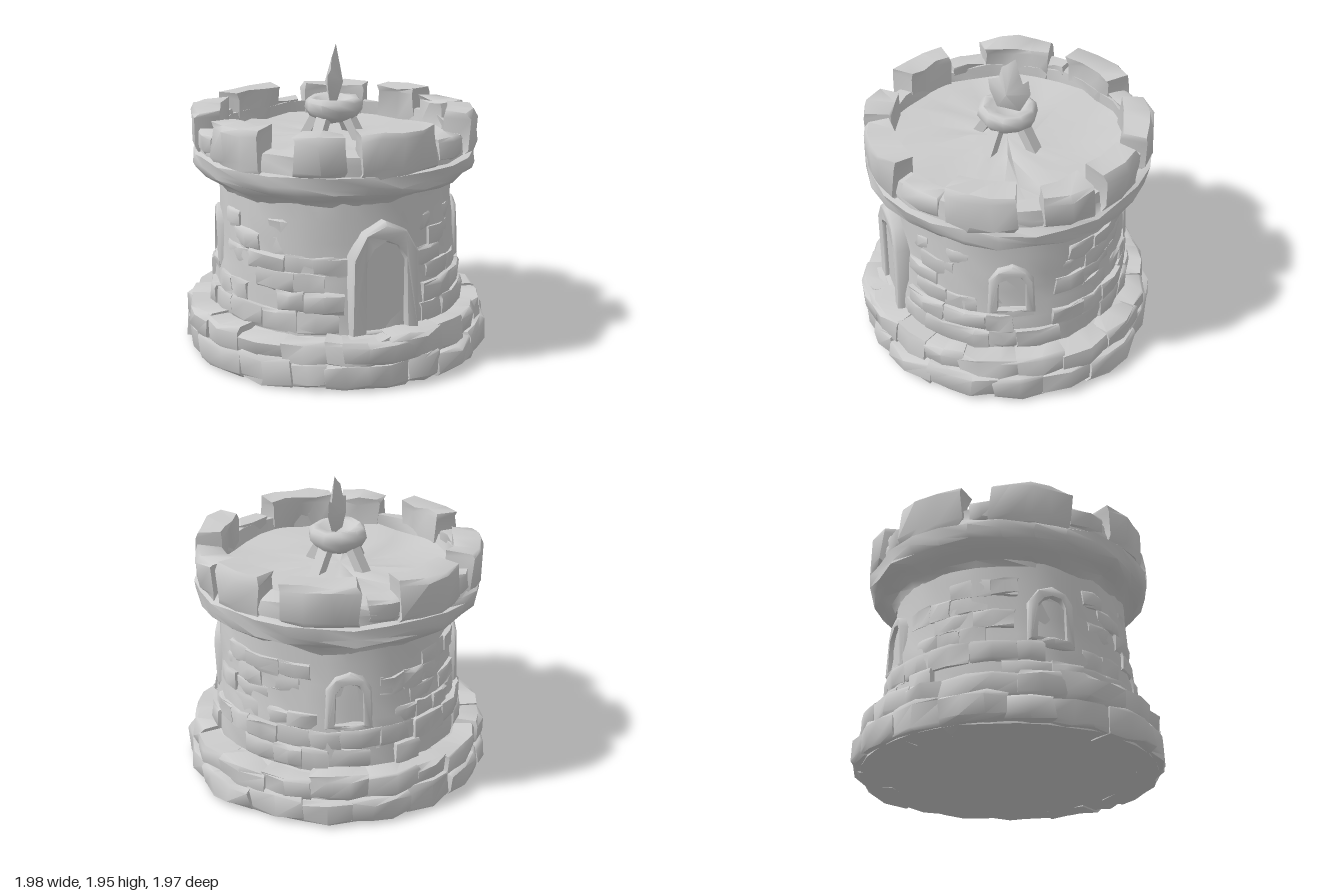
import * as THREE from 'three';
import { mergeGeometries, toCreasedNormals } from 'three/addons/utils/BufferGeometryUtils.js';

const RAD = Math.PI / 180;
const stone = new THREE.MeshStandardMaterial({ color: 0xcccccc });

let seed = 7;
const rand = () => (seed = (seed * 16807) % 2147483647) / 2147483647;
const vary = (a) => (rand() - 0.5) * 2 * a;

// Repeatable noise from a position, so that shared corners move together
function noise(x, y, z, k) {
  const s = Math.sin(Math.round(x * 500) * 12.99 + Math.round(y * 500) * 78.23 + Math.round(z * 500) * 37.72 + k * 91.7) * 43758.55;
  return (s - Math.floor(s)) * 2 - 1;
}

function roughen(geo, amount) {
  const p = geo.attributes.position;
  for (let i = 0; i < p.count; i++) {
    const [x, y, z] = [p.getX(i), p.getY(i), p.getZ(i)];
    p.setXYZ(i, x + amount * noise(x, y, z, 1), y + amount * noise(x, y, z, 2), z + amount * noise(x, y, z, 3));
  }
  return geo;
}

function mesh(name, geo, crease = 0.9) {
  const m = new THREE.Mesh(toCreasedNormals(geo, crease), stone);
  m.name = name;
  return m;
}

// Chipped stone bent round the tower: angles a0..a1 in degrees from the front
function arcStone(a0, a1, r0, r1, y0, y1, bevel = 0.02, rough = 0.008) {
  const geo = new THREE.BoxGeometry(1, 1, 1, Math.max(2, Math.round((a1 - a0) / 9)), 3, 1);
  const p = geo.attributes.position;
  for (let i = 0; i < p.count; i++) {
    const u = p.getX(i), v = p.getY(i), w = p.getZ(i);
    const edge = (Math.abs(u) > 0.49 ? 1 : 0) + (Math.abs(v) > 0.49 ? 1 : 0);
    const a = (a0 + (a1 - a0) * (u + 0.5)) * RAD;
    const r = w > 0 ? r1 - bevel * edge : r0;
    const vv = Math.abs(v) < 0.49 ? v * 2.1 : v;
    p.setXYZ(i, r * Math.sin(a), y0 + (y1 - y0) * (vv + 0.5), r * Math.cos(a));
  }
  return roughen(geo, rough);
}

// Ring of stones with uneven lengths
function course(name, count, start, r0, r1, y0, y1) {
  const cuts = Array.from({ length: count }, (_, i) => start + (i * 360) / count + vary(5.5));
  const parts = cuts.map((a, i) => {
    const end = i + 1 < count ? cuts[i + 1] : cuts[0] + 360;
    return arcStone(a - 0.5, end + 0.5, r0, r1 + vary(0.022), y0, y1 + vary(0.018), 0.02, 0.014);
  });
  return mesh(name, mergeGeometries(parts));
}

function roughLathe(name, profile, segments, amount, crease) {
  const geo = new THREE.LatheGeometry(profile.map(([r, y]) => new THREE.Vector2(r, y)), segments);
  return mesh(name, roughen(geo, amount), crease);
}

function archPath(Kind, half, y0, shoulder, apex) {
  const mid = shoulder + (apex - shoulder) * 0.7;
  return new Kind([[-half, y0], [half, y0], [half * 0.95, shoulder], [half * 0.58, mid], [0, apex],
    [-half * 0.58, mid], [-half * 0.95, shoulder]].map(([x, y]) => new THREE.Vector2(x, y)));
}

// Raised arch surround with a recessed panel, set into the wall
function archway(name, angle, front, half, y0, shoulder, apex, band) {
  const g = new THREE.Group();
  g.name = name;
  const outer = archPath(THREE.Shape, half, y0, shoulder, apex);
  outer.holes.push(archPath(THREE.Path, half - band, y0 + 0.015, shoulder - band * 0.4, apex - band * 1.3));
  const frame = new THREE.ExtrudeGeometry(outer, { depth: 0.11, bevelEnabled: true, bevelThickness: 0.02, bevelSize: 0.012, bevelSegments: 1 });
  frame.translate(0, 0, front - 0.13);
  const panel = new THREE.ExtrudeGeometry(archPath(THREE.Shape, half - band / 2, y0, shoulder, apex - band), { depth: 0.1, bevelEnabled: false });
  panel.translate(0, 0, front - 0.127);
  g.add(mesh(name + 'Surround', roughen(frame, 0.007)), mesh(name + 'Panel', panel));
  g.rotation.y = angle * RAD;
  return g;
}

// Flat flame: jagged outline with a thick ridge in the middle
function flameGeometry() {
  const o = [[0.08, 1.58], [0.15, 1.72], [0.135, 1.82], [0.1, 1.78], [0.08, 1.84], [0.05, 1.955], [0, 1.91],
    [-0.04, 1.88], [-0.06, 1.8], [-0.13, 1.775], [-0.12, 1.7], [-0.07, 1.58]];
  const pos = [];
  o.forEach(([x, y], i) => {
    const [nx, ny] = o[(i + 1) % o.length];
    pos.push(x, y, 0, nx, ny, 0, 0.01, 1.72, 0.06);
    pos.push(nx, ny, 0, x, y, 0, 0.01, 1.72, -0.06);
  });
  const geo = new THREE.BufferGeometry();
  geo.setAttribute('position', new THREE.Float32BufferAttribute(pos, 3));
  return geo;
}

export function createModel() {
  const tower = new THREE.Group();
  tower.name = 'tower';

  // Foundation: solid core with two courses of boulders and a door step
  tower.add(roughLathe('foundationCore', [[0, 0.012], [0.92, 0.012], [0.91, 0.28], [0.76, 0.31]], 36, 0.004, 0.6));
  tower.add(course('lowerFoundationStones', 17, -11, 0.78, 0.985, 0.018, 0.18));
  tower.add(course('upperFoundationStones', 18, -14, 0.74, 0.96, 0.16, 0.315));
  tower.add(mesh('doorStep', arcStone(-10, 18, 0.74, 0.99, 0.17, 0.31, 0.02, 0.012)));

  // Wall, flaring towards the foot
  const wall = [[0.8, 0.28], [0.795, 0.4], [0.785, 0.52], [0.77, 0.63], [0.755, 0.75], [0.75, 0.87], [0.745, 1.0], [0.74, 1.18]];
  tower.add(roughLathe('wall', wall, 36, 0.014, 1.2));

  // Arched door and windows
  const openings = [[9.5, 17], [83, 11], [180, 11], [-94, 11]];
  tower.add(archway('door', 9.5, 0.818, 0.215, 0.3, 0.8, 0.995, 0.075));
  openings.slice(1).forEach(([a]) => {
    tower.add(archway('window', a, 0.782, 0.135, 0.59, 0.84, 0.945, 0.04));
    tower.add(mesh('windowSill', arcStone(a - 9, a + 10, 0.7, 0.795, 0.55, 0.61, 0.012, 0.007)));
  });

  // Shallow stones standing out of the wall
  const facing = [];
  [[0.31, 0.45, 0.822], [0.44, 0.57, 0.812], [0.56, 0.68, 0.79], [0.67, 0.79, 0.77], [0.78, 0.9, 0.762], [0.89, 1.0, 0.757]].forEach(([y0, y1, r], row) => {
    for (let a = row * 9; a < row * 9 + 352; ) {
      const size = 11 + rand() * 10, mid = a + size / 2;
      const clear = openings.every(([o, half], i) => {
        const gap = Math.abs(((mid - o + 540) % 360) - 180);
        return gap > half + size / 2 || (i > 0 && y1 < 0.58);
      });
      if (clear && rand() < 0.85) facing.push(arcStone(a, a + size, 0.7, r + vary(0.012), y0, y1, 0.008, 0.009));
      a += size;
    }
  });
  tower.add(mesh('wallStones', mergeGeometries(facing)));

  // Overhanging crown, parapet and roof floor
  const crown = new THREE.Group();
  crown.name = 'crown';
  crown.position.set(-0.01, 0, -0.01);
  crown.add(roughLathe('parapet', [[0.73, 1.08], [0.755, 1.13], [0.83, 1.16], [0.89, 1.2], [0.905, 1.25], [0.91, 1.305], [0.87, 1.32],
    [0.865, 1.38], [0.855, 1.43], [0.745, 1.44], [0.735, 1.365], [0.5, 1.345], [0.22, 1.355], [0, 1.355]], 28, 0.015, 0.8));

  // Battlements: middle angle, half width, top height
  [[167, 15, 1.57], [-147, 15, 1.57], [-104, 16, 1.57], [-55, 13, 1.57], [-18, 10, 1.55], [14, 16.5, 1.57],
    [70, 13.5, 1.57], [105, 10.5, 1.54], [131, 11, 1.57]].forEach(([a, half, top]) => {
    crown.add(mesh('battlement', arcStone(a - half, a + half, 0.735, 0.915, 1.31, top, 0.018, 0.015)));
  });
  // Lower stones between some battlements
  [[43, 9], [-79, 8], [-124, 5], [-166, 8]].forEach(([a, half]) => {
    crown.add(mesh('gapStone', arcStone(a - half, a + half, 0.75, 0.885, 1.33, 1.465, 0.015, 0.01)));
  });

  // Thick-rimmed fire bowl on four splayed legs
  crown.add(roughLathe('fireBowl', [[0, 1.46], [0.09, 1.465], [0.155, 1.5], [0.188, 1.55], [0.185, 1.6], [0.16, 1.62],
    [0.12, 1.615], [0.085, 1.59], [0, 1.58]], 10, 0.007, 1.1));
  for (let i = 0; i < 4; i++) {
    const leg = mesh('bowlLeg', new THREE.BoxGeometry(0.075, 0.2, 0.06));
    const pivot = new THREE.Group();
    pivot.name = 'bowlLegMount';
    leg.position.set(0, 1.42, 0.165);
    leg.rotation.x = -0.55;
    pivot.rotation.y = (45 + i * 90) * RAD;
    pivot.add(leg);
    crown.add(pivot);
  }
  const flame = mesh('flame', flameGeometry(), 0.8);
  flame.rotation.y = 60 * RAD;
  crown.add(flame);
  tower.add(crown);
  return tower;
}
